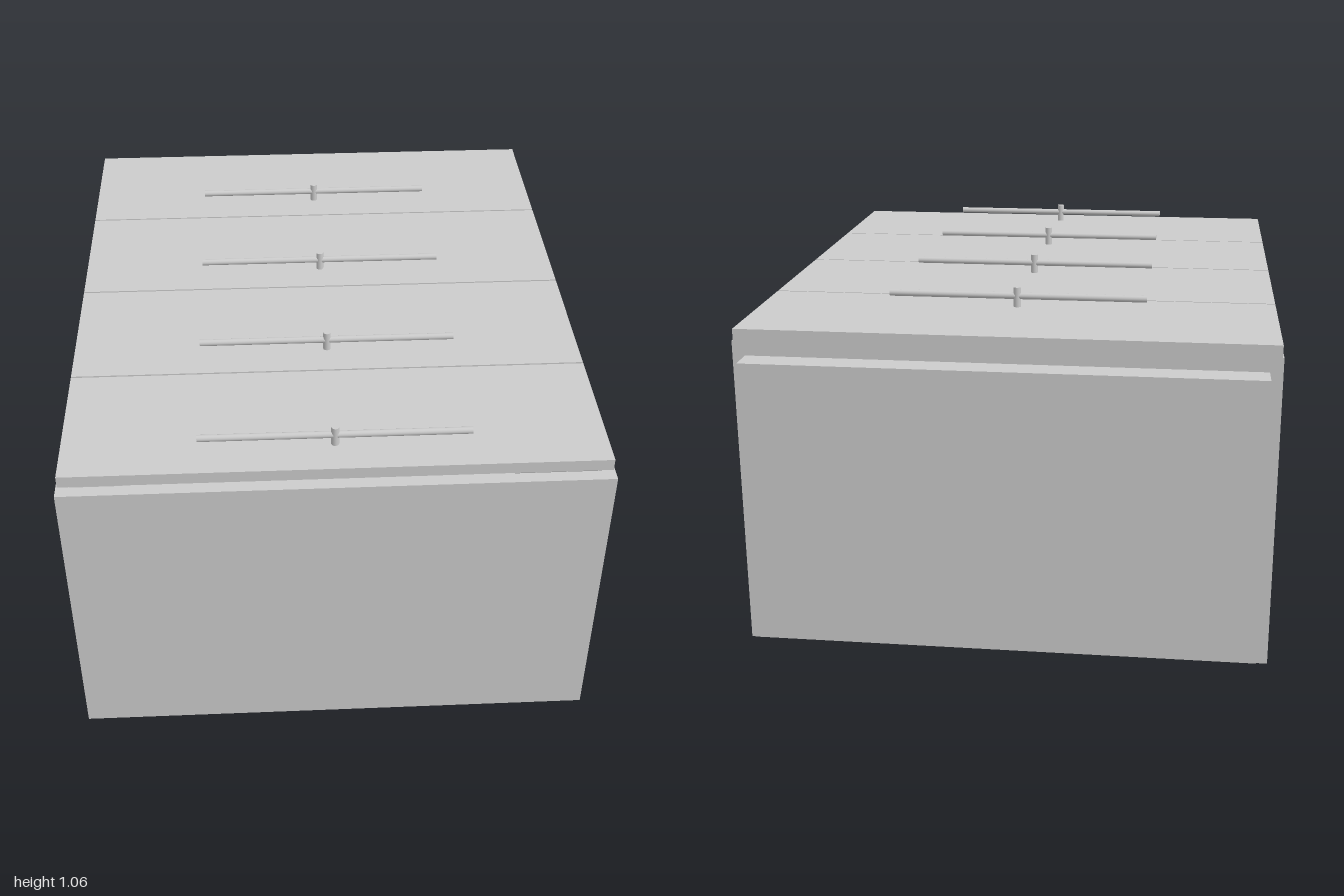
import * as THREE from 'three';

const material = new THREE.MeshStandardMaterial({ color: 0xcccccc });

// Box given by its min and max corners
function panel(name, [x0, y0, z0], [x1, y1, z1]) {
  const geometry = new THREE.BoxGeometry(x1 - x0, y1 - y0, z1 - z0);
  geometry.translate((x0 + x1) / 2, (y0 + y1) / 2, (z0 + z1) / 2);
  const mesh = new THREE.Mesh(geometry, material);
  mesh.name = name;
  return mesh;
}

// Round bar crossed by a short post
function createHandle() {
  const handle = new THREE.Group();
  handle.name = 'handle';
  const bar = new THREE.Mesh(new THREE.CylinderGeometry(0.0105, 0.0105, 0.8, 16), material);
  bar.name = 'handleBar';
  bar.rotation.z = Math.PI / 2;
  bar.position.y = 0.034;
  const post = new THREE.Mesh(new THREE.CylinderGeometry(0.012, 0.012, 0.062, 16), material);
  post.name = 'handlePost';
  post.position.y = 0.031;
  handle.add(bar, post);
  return handle;
}

export function createModel() {
  const model = new THREE.Group();
  model.name = 'drawerCabinet';

  const rim = 0.963, back = -0.918, inner = 0.762, thick = 0.038;

  // Carcass lying on its back, its open side up
  const carcass = new THREE.Group();
  carcass.name = 'carcass';
  carcass.add(
    panel('leftSide', [inner, 0, back], [0.8, rim, 1]),
    panel('rightSide', [-0.8, 0, back], [-inner, rim, 1]),
    panel('topPanel', [-inner, 0, 1 - thick], [inner, rim, 1]),
    panel('basePanel', [-inner, 0, back], [inner, rim, back + thick]),
    panel('backPanel', [-inner, 0, back + thick], [inner, 0.02, 1 - thick]),
    panel('plinth', [-inner, 0.043, -1], [inner, 0.92, back])
  );
  model.add(carcass);

  // Four drawer fronts with narrow gaps, each with a handle
  const pitch = 0.471, length = 0.465;
  for (let i = 0; i < 4; i++) {
    const z1 = 0.96 - i * pitch;
    const drawer = new THREE.Group();
    drawer.name = `drawer${i + 1}`;
    drawer.add(panel('drawerFront', [-0.796, rim, z1 - length], [0.796, 1, z1]));
    const handle = createHandle();
    handle.position.set(0, 1, z1 - 0.113);
    drawer.add(handle);
    model.add(drawer);
  }
  return model;
}
